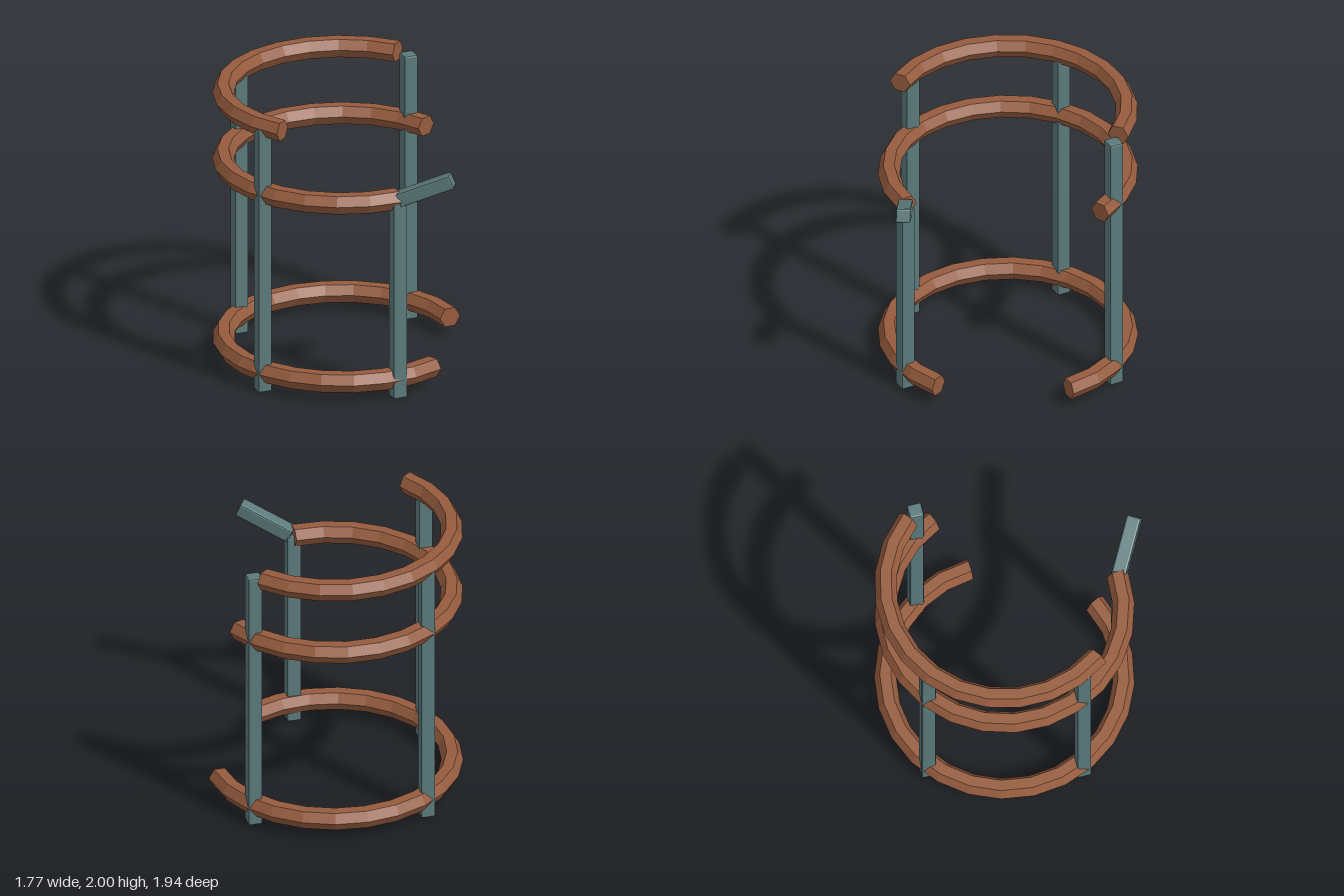
import * as THREE from 'three';
import { RoundedBoxGeometry } from 'three/addons/geometries/RoundedBoxGeometry.js';
import { mergeGeometries } from 'three/addons/utils/BufferGeometryUtils.js';

const wood = new THREE.MeshStandardMaterial({ color: 0x965c3e, flatShading: true });
const steel = new THREE.MeshStandardMaterial({ color: 0x5c7a7c, flatShading: true });

const RADIUS = 0.81, TUBE = 0.075, CENTRE_Z = -0.087, POST = 0.1, CHAMFER = 0.013;

// Open hexagonal hoop with closed ends; angles in degrees from +x towards +z
function hoop(name, y, from, to) {
  const start = THREE.MathUtils.degToRad(from);
  const arc = THREE.MathUtils.degToRad(to - from);
  const ring = new THREE.TorusGeometry(RADIUS, TUBE, 6, Math.round((to - from) / 14.7), arc);
  const cap = (turn, angle) => new THREE.CircleGeometry(TUBE, 6)
    .rotateX(turn).translate(RADIUS, 0, 0).rotateZ(angle);
  const geometry = mergeGeometries([ring, cap(Math.PI / 2, 0), cap(-Math.PI / 2, arc)]);
  geometry.rotateZ(start).rotateX(Math.PI / 2);
  const mesh = new THREE.Mesh(geometry, wood);
  mesh.name = name;
  mesh.position.set(0, y, CENTRE_Z);
  return mesh;
}

// Square bar with chamfered edges, standing on the floor
function post(name, x, z, height) {
  const mesh = new THREE.Mesh(new RoundedBoxGeometry(POST, height, POST, 1, CHAMFER), steel);
  mesh.name = name;
  mesh.position.set(x, height / 2, z);
  return mesh;
}

export function createModel() {
  const model = new THREE.Group();
  model.name = 'hoopFrame';

  // Hoops
  model.add(
    hoop('bottomHoop', 0.135, 63, 357),
    hoop('middleHoop', 1.445, 85, 337),
    hoop('topHoop', 1.935, 142.5, 320),
  );

  // Posts
  model.add(
    post('leftBackPost', 0.675, -0.545, 1.935),
    post('rightBackPost', -0.485, -0.745, 1.935),
    post('rightFrontPost', -0.735, 0.28, 1.935),
    post('frontPost', 0.07, 0.735, 1.445),
  );

  // Slanted handle leaving the top of the front post
  const a = new THREE.Vector3(0.075, 1.447, 0.735);
  const b = new THREE.Vector3(0.395, 1.605, 0.92);
  const handle = new THREE.Mesh(
    new RoundedBoxGeometry(POST, POST, a.distanceTo(b), 1, CHAMFER), steel);
  handle.name = 'handle';
  handle.position.copy(a).lerp(b, 0.5);
  handle.lookAt(b);
  model.add(handle);

  return model;
}
